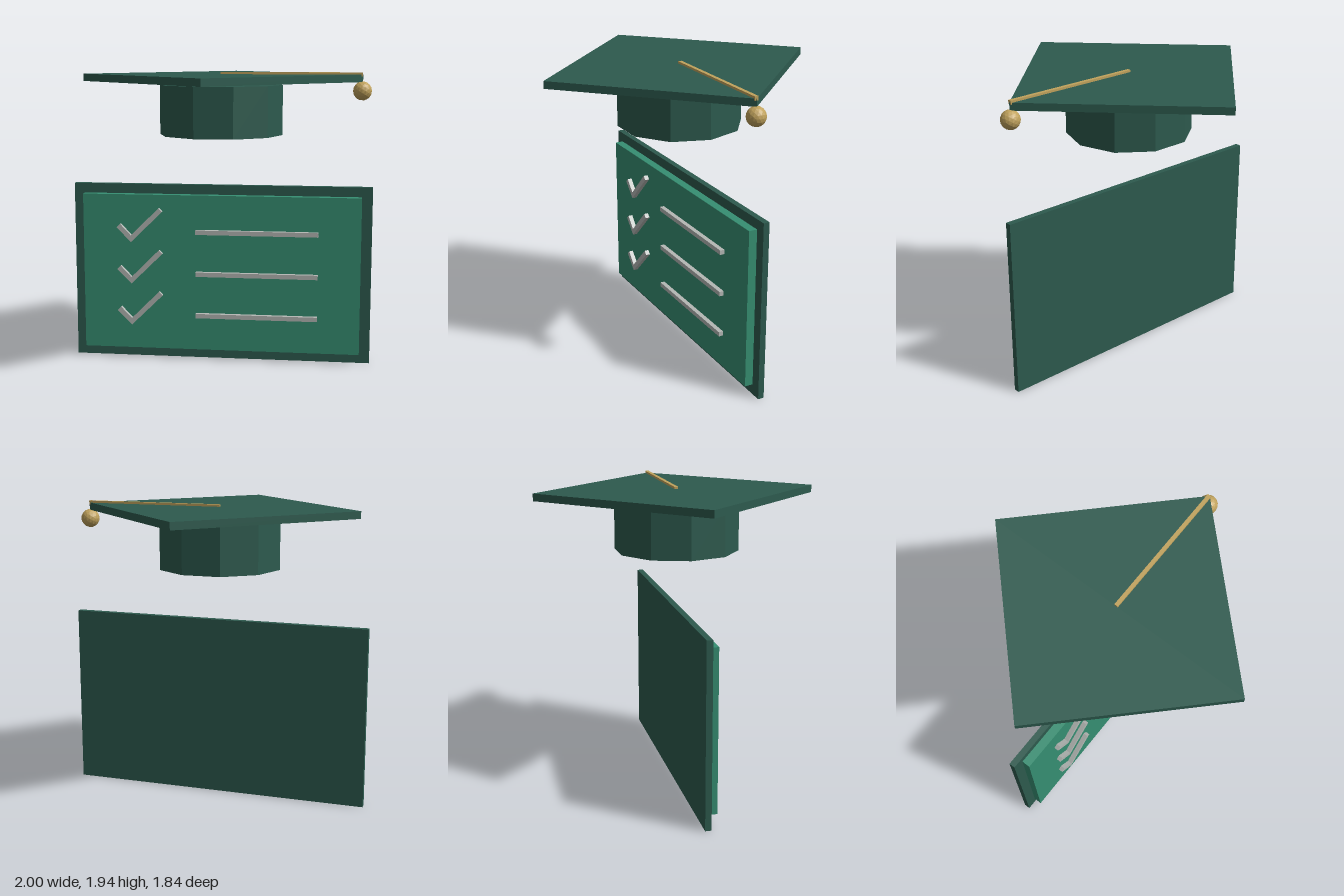
import * as THREE from 'three';

const material = (name, color, extra = {}) => {
  const m = new THREE.MeshStandardMaterial({ color, ...extra });
  m.name = name;
  return m;
};

export function createModel() {
  const darkGreen = material('dark green', 0x2d5a4e, { flatShading: true });
  const boardGreen = material('board green', 0x368f72, { flatShading: true });
  const chalk = material('chalk grey', 0xb4b8b5, { flatShading: true });
  const gold = material('gold', 0xc0a25c, { flatShading: true });

  const model = new THREE.Group();
  model.name = 'graduationBoard';

  const add = (parent, name, geometry, mat, x, y, z) => {
    const mesh = new THREE.Mesh(geometry, mat);
    mesh.name = name;
    mesh.position.set(x, y, z);
    parent.add(mesh);
    return mesh;
  };

  // Chalkboard: backing frame and raised writing panel
  const board = new THREE.Group();
  board.name = 'chalkboard';
  model.add(board);
  add(board, 'frame', new THREE.BoxGeometry(2, 1.19, 0.04), darkGreen, 0, 0.595, -0.04);
  add(board, 'writingPanel', new THREE.BoxGeometry(1.86, 1.055, 0.055), boardGreen, 0, 0.598, 0.0075);

  // Three rows, each with a tick and a line; the tick's corner is its origin
  const tick = new THREE.Shape([
    [0, 0], [0.212, 0.208], [0.188, 0.232], [0, 0.045], [-0.073, 0.122], [-0.098, 0.098],
  ].map(([x, y]) => new THREE.Vector2(x, y)));
  const tickGeometry = new THREE.ExtrudeGeometry(tick, { depth: 0.03, bevelEnabled: false });
  const lineGeometry = new THREE.BoxGeometry(0.815, 0.03, 0.03);
  for (let row = 0; row < 3; row++) {
    const y = 0.88 - row * 0.285;
    add(board, 'checkMark', tickGeometry, chalk, -0.6, y - 0.073, 0.035);
    add(board, 'textLine', lineGeometry, chalk, 0.2425, y, 0.05);
  }

  // Graduation cap: ten-sided crown below a diamond-shaped top
  const cap = new THREE.Group();
  cap.name = 'graduationCap';
  model.add(cap);
  add(cap, 'crown', new THREE.CylinderGeometry(0.405, 0.405, 0.325, 10, 1, false, Math.PI / 2), darkGreen, 0, 1.6925, 0);
  const side = 0.92 * Math.SQRT2;
  const top = add(cap, 'mortarboard', new THREE.BoxGeometry(side, 0.048, side), darkGreen, 0, 1.899, 0);
  top.rotation.y = Math.PI / 4;

  // Tassel: cord from the centre to the left corner, with a bead hanging there
  add(cap, 'tasselCord', new THREE.BoxGeometry(0.917, 0.025, 0.025), gold, 0.4585, 1.9245, 0);
  add(cap, 'tasselBead', new THREE.IcosahedronGeometry(0.061, 2), gold, 0.917, 1.819, 0);

  return model;
}
